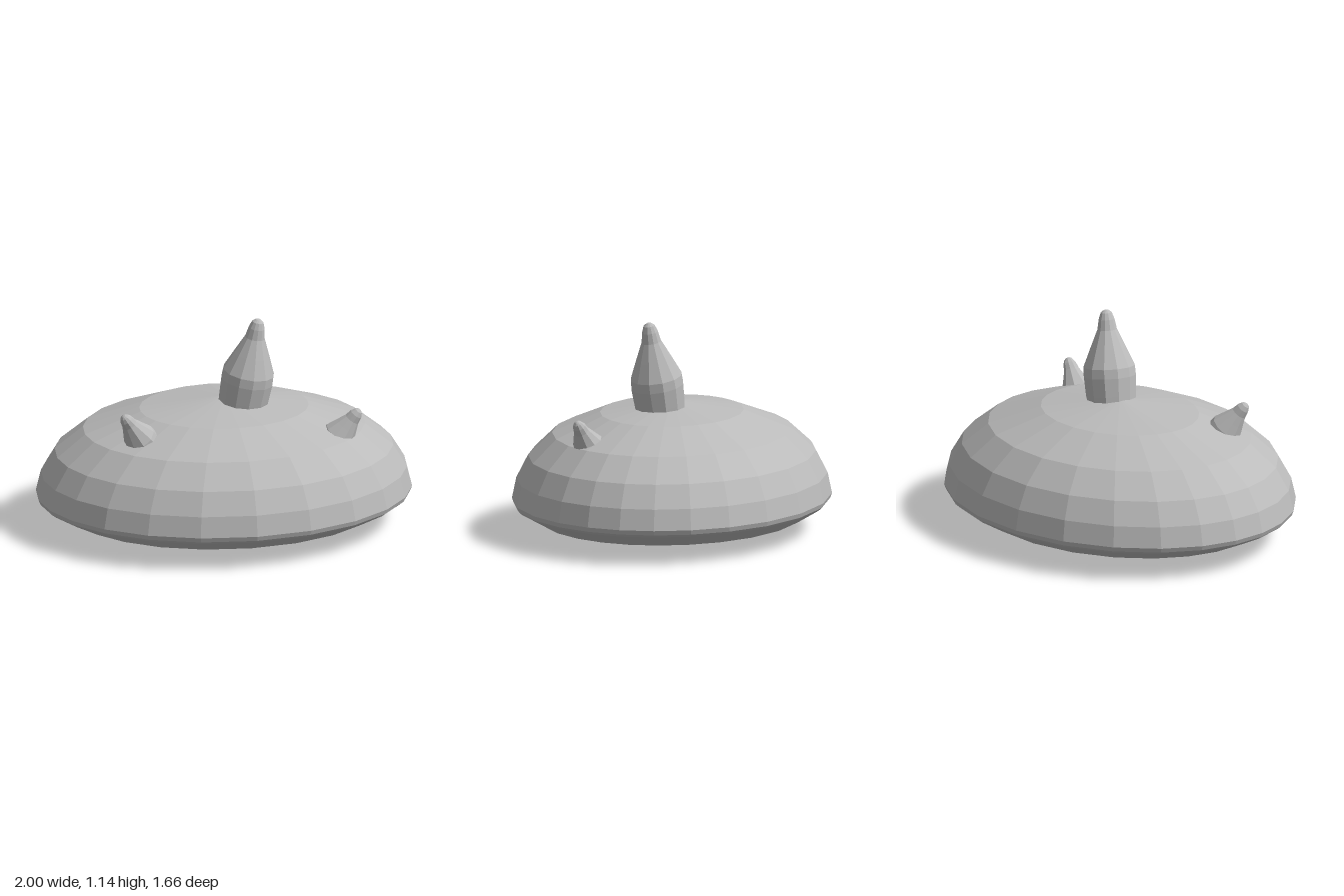
import * as THREE from 'three';

const DEPTH = 0.83; // front-to-back squash of the oval shell

function lathe(profile, sides) {
  return new THREE.LatheGeometry(profile.map(([r, y]) => new THREE.Vector2(r, y)), sides);
}

// Flat facets: every face gets its own vertices and normal
function facet(geometry) {
  const flat = geometry.toNonIndexed();
  flat.computeVertexNormals();
  return flat;
}

// Tapered, blunt-tipped horn running from a base point to a tip point
function horn(name, base, tip, profile, sides, material) {
  const from = new THREE.Vector3(...base);
  const axis = new THREE.Vector3(...tip).sub(from);
  const mesh = new THREE.Mesh(facet(lathe(profile, sides)), material);
  mesh.name = name;
  mesh.position.copy(from);
  mesh.quaternion.setFromUnitVectors(new THREE.Vector3(0, 1, 0), axis.normalize());
  return mesh;
}

export function createModel() {
  const group = new THREE.Group();
  group.name = 'hornedShell';
  const grey = new THREE.MeshStandardMaterial({ color: 0xbbbbbb });
  grey.name = 'grey';

  // Domed oval shell with a shallow conical underside
  const shell = lathe([
    [0, 0], [0.83, 0.08], [0.97, 0.15], [0.99, 0.165], [1, 0.19],
    [0.973, 0.3], [0.9, 0.42], [0.75, 0.54], [0.45, 0.645], [0, 0.705],
  ], 24);
  // Facets are wider at the front and back than at the sides
  const p = shell.attributes.position;
  for (let i = 0; i < p.count; i++) {
    const x = p.getX(i), z = p.getZ(i);
    const r = Math.hypot(x, z);
    const a = Math.atan2(x, z);
    const b = a + 0.082 * Math.sin(2 * a);
    p.setXYZ(i, r * Math.sin(b), p.getY(i), r * Math.cos(b) * DEPTH);
  }
  const body = new THREE.Mesh(facet(shell), grey);
  body.name = 'shell';
  group.add(body);

  // Tall leaning horn on the crown
  group.add(horn('crownHorn', [0.095, 0.68, 0.037], [0.168, 1.143, 0.08], [
    [0, -0.05], [0.13, -0.05], [0.135, 0.02], [0.141, 0.12], [0.138, 0.17],
    [0.095, 0.27], [0.053, 0.365], [0.043, 0.42], [0.03, 0.455], [0.014, 0.468], [0, 0.471],
  ], 12, grey));

  // Two small horns on the front shoulders
  const small = [
    [0, -0.05], [0.092, -0.05], [0.088, 0], [0.062, 0.06], [0.041, 0.11],
    [0.034, 0.145], [0.022, 0.168], [0.01, 0.176], [0, 0.178],
  ];
  group.add(horn('leftHorn', [0.56, 0.545, 0.298], [0.658, 0.686, 0.332], small, 10, grey));
  group.add(horn('rightHorn', [-0.517, 0.595, 0.268], [-0.61, 0.733, 0.314], small, 10, grey));

  return group;
}
